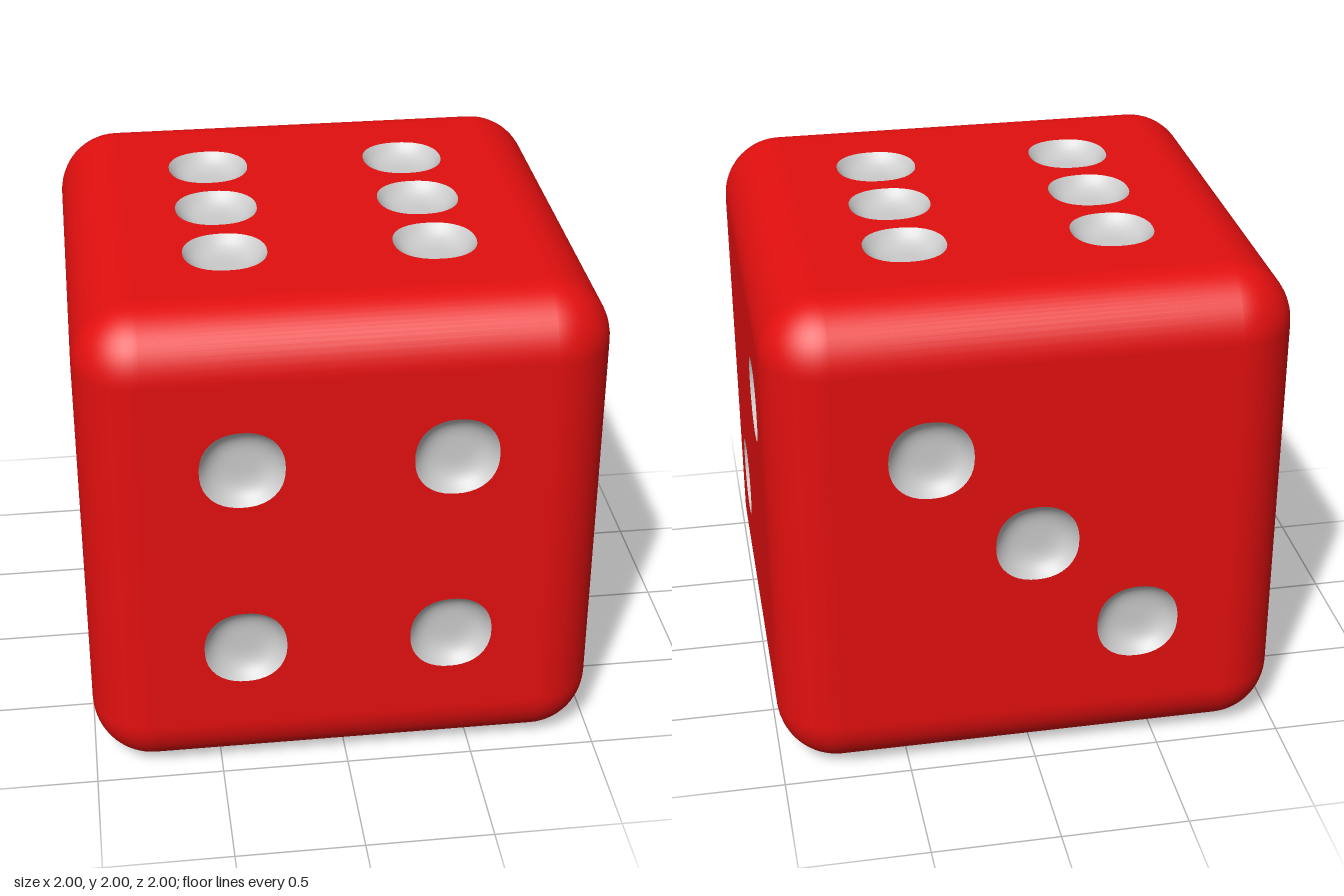
import * as THREE from 'three';
import { RoundedBoxGeometry } from 'three/addons/geometries/RoundedBoxGeometry.js';

const EDGE = 0.24, PIP = 0.16, SEG = 40, DEPTH = 0.06;

const red = new THREE.MeshStandardMaterial({ color: 0xe30f0f });
const grey = new THREE.MeshStandardMaterial({ color: 0xcccccc });

// slightly squared circle: radius factor at an angle
function squircle(a) {
  const n = 2.25;
  return (Math.abs(Math.cos(a)) ** n + Math.abs(Math.sin(a)) ** n) ** (-1 / n);
}

// rounded edges and corners: a rounded cube without its six flat centres
function shellGeometry() {
  const box = new RoundedBoxGeometry(2, 2, 2, 8, EDGE);
  const p = box.attributes.position, n = box.attributes.normal;
  const pos = [], nor = [];
  for (let i = 0; i < p.count; i += 3) {
    const flat = ['getX', 'getY', 'getZ'].some((get) =>
      Math.abs(p[get](i) + p[get](i + 1) + p[get](i + 2)) > 2.9999);
    if (flat) continue;
    for (let k = i; k < i + 3; k++) {
      pos.push(p.getX(k), p.getY(k), p.getZ(k));
      nor.push(n.getX(k), n.getY(k), n.getZ(k));
    }
  }
  const g = new THREE.BufferGeometry();
  g.setAttribute('position', new THREE.Float32BufferAttribute(pos, 3));
  g.setAttribute('normal', new THREE.Float32BufferAttribute(nor, 3));
  return g;
}

// flat square panel with a hole for each pip
function panelGeometry(pips) {
  const h = 1 - EDGE;
  const shape = new THREE.Shape([[-h, -h], [h, -h], [h, h], [-h, h]].map(([x, y]) => new THREE.Vector2(x, y)));
  for (const [u, v] of pips) {
    const pts = [];
    for (let i = 0; i < SEG; i++) {
      const a = (-i / SEG) * Math.PI * 2, r = PIP * squircle(a);
      pts.push(new THREE.Vector2(u + r * Math.cos(a), v + r * Math.sin(a)));
    }
    shape.holes.push(new THREE.Path(pts));
  }
  return new THREE.ShapeGeometry(shape);
}

// shallow dish, rim at z = 0, opening towards +z
function dishGeometry() {
  const profile = [];
  for (let i = 0; i <= 12; i++) {
    const t = 1 - i / 12;
    profile.push(new THREE.Vector2(PIP * t, -DEPTH * (1 - t ** 4)));
  }
  const g = new THREE.LatheGeometry(profile, SEG).rotateX(Math.PI / 2);
  const p = g.attributes.position;
  for (let i = 0; i < p.count; i++) {
    const f = squircle(Math.atan2(p.getY(i), p.getX(i)));
    p.setXY(i, p.getX(i) * f, p.getY(i) * f);
  }
  return g;
}

export function createModel() {
  const model = new THREE.Group();
  model.name = 'die';
  const body = new THREE.Group();
  body.position.y = 1;
  model.add(body);

  const shell = new THREE.Mesh(shellGeometry(), red);
  shell.name = 'roundedEdges';
  body.add(shell);

  // pip layouts, seen from outside each face
  const d = 0.4, q = Math.PI / 2;
  const diagonal = [[-d, d], [d, -d]];
  const rising = [[-d, -d], [d, d]];
  const corners = [...diagonal, ...rising];
  const faces = [
    ['front', 0, 0, corners],
    ['left', 0, q, rising],
    ['back', 0, 2 * q, [...diagonal, [0, 0]]],
    ['right', 0, -q, [...corners, [0, 0]]],
    ['top', -q, 0, [...corners, [-d, 0], [d, 0]]],
    ['bottom', q, 0, [[0, 0]]],
  ];

  const dish = dishGeometry();
  for (const [name, rx, ry, pips] of faces) {
    const face = new THREE.Group();
    face.name = name + 'Face';
    face.rotation.set(rx, ry, 0);
    const panel = new THREE.Mesh(panelGeometry(pips), red);
    panel.name = name + 'Panel';
    panel.position.z = 1;
    face.add(panel);
    for (const [u, v] of pips) {
      const pip = new THREE.Mesh(dish, grey);
      pip.name = name + 'Pip';
      pip.position.set(u, v, 1);
      face.add(pip);
    }
    body.add(face);
  }
  return model;
}
